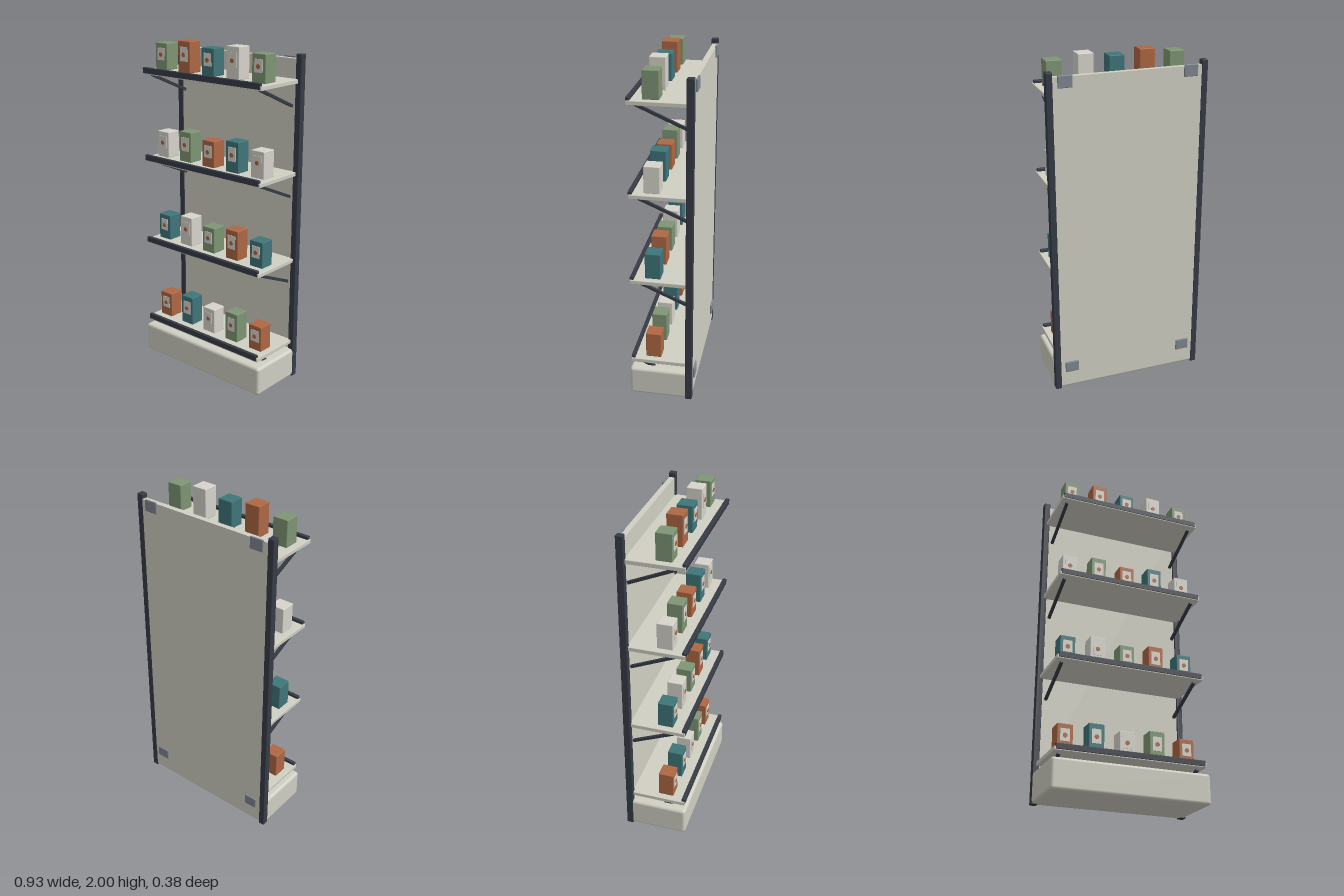
import * as THREE from 'three';
import { RoundedBoxGeometry } from 'three/addons/geometries/RoundedBoxGeometry.js';

const material = (name, color) => {
  const m = new THREE.MeshStandardMaterial({ color });
  m.name = name;
  return m;
};

export function createModel() {
  const cream = material('cream panel', 0xd0cfc3);
  const paper = material('off-white paper', 0xd6d4cb);
  const dark = material('dark metal', 0x363b45);
  const steel = material('grey steel', 0x7f8690);
  const green = material('sage green', 0x7e9574);
  const orange = material('terracotta', 0xae6743);
  const teal = material('teal', 0x3f7579);

  const root = new THREE.Group();
  root.name = 'shelvingDisplay';

  const add = (parent, name, geometry, mat, x, y, z) => {
    const mesh = new THREE.Mesh(geometry, mat);
    mesh.name = name;
    mesh.position.set(x, y, z);
    parent.add(mesh);
    return mesh;
  };
  // Box given by its lower and upper limits, with optional rounded edges
  const block = (parent, name, mat, [x0, x1], [y0, y1], [z0, z1], r = 0) => {
    const size = [x1 - x0, y1 - y0, z1 - z0];
    const geo = r ? new RoundedBoxGeometry(...size, 3, r) : new THREE.BoxGeometry(...size);
    return add(parent, name, geo, mat, (x0 + x1) / 2, (y0 + y1) / 2, (z0 + z1) / 2);
  };

  // Plinth and back board
  block(root, 'base', cream, [-0.465, 0.465], [0.004, 0.18], [-0.181, 0.189], 0.018);
  block(root, 'backPanel', cream, [-0.435, 0.435], [0.15, 1.93], [-0.182, -0.15]);

  // Posts, and the clamps on the back
  for (const side of [-1, 1]) {
    const label = side > 0 ? 'left' : 'right';
    const span = (a, b) => [Math.min(side * a, side * b), Math.max(side * a, side * b)];
    block(root, label + 'Post', dark, span(0.43, 0.467), [0, 1.957], [-0.184, -0.143], 0.004);
    for (const y of [0.147, 1.905]) {
      block(root, label + 'Clamp', steel, span(0.322, 0.404), [y - 0.034, y + 0.034], [-0.192, -0.18], 0.004);
    }
  }

  // One boxed product with a label and a round mark
  const makeProduct = (mat, h) => {
    const product = new THREE.Group();
    product.name = 'product';
    block(product, 'carton', mat, [-0.046, 0.046], [0, h], [0.009, 0.1], 0.004);
    block(product, 'label', paper, [-0.028, 0.028], [0.36 * h, 0.82 * h], [0.099, 0.103]);
    const mark = add(product, 'labelMark', new THREE.CylinderGeometry(0.013, 0.013, 0.005, 20), orange, 0, 0.57 * h, 0.1035);
    mark.rotation.x = Math.PI / 2;
    return product;
  };

  // Four shelves with front rail, struts and five products each
  const colours = [green, orange, teal, paper];
  for (let row = 0; row < 4; row++) {
    const shelf = new THREE.Group();
    shelf.name = 'shelf' + (row + 1);
    shelf.position.y = 0.24 + row * 0.5267; // shelf top surface
    root.add(shelf);

    block(shelf, 'board', cream, [-0.448, 0.448], [-0.024, 0], [-0.152, 0.18], 0.003);
    block(shelf, 'frontRail', dark, [-0.44, 0.44], [-0.018, 0.016], [0.16, 0.182], 0.003);

    // Sloping struts from the rail end of the board down to the back
    const dy = -0.124, dz = -0.285;
    for (const side of [-1, 1]) {
      const strut = add(shelf, 'strut', new THREE.BoxGeometry(0.016, 0.016, Math.hypot(dy, dz)), dark,
        side * 0.409, -0.027 + dy / 2, 0.14 + dz / 2);
      strut.rotation.x = -Math.atan2(dy, dz) + Math.PI;
      strut.rotation.x = Math.atan2(-dy, dz);
    }

    for (let i = 0; i < 5; i++) {
      const product = makeProduct(colours[(i + row + 1) % 4], i % 2 ? 0.18 : 0.156);
      product.position.x = (i - 2) * 0.1825;
      shelf.add(product);
    }
  }
  return root;
}
